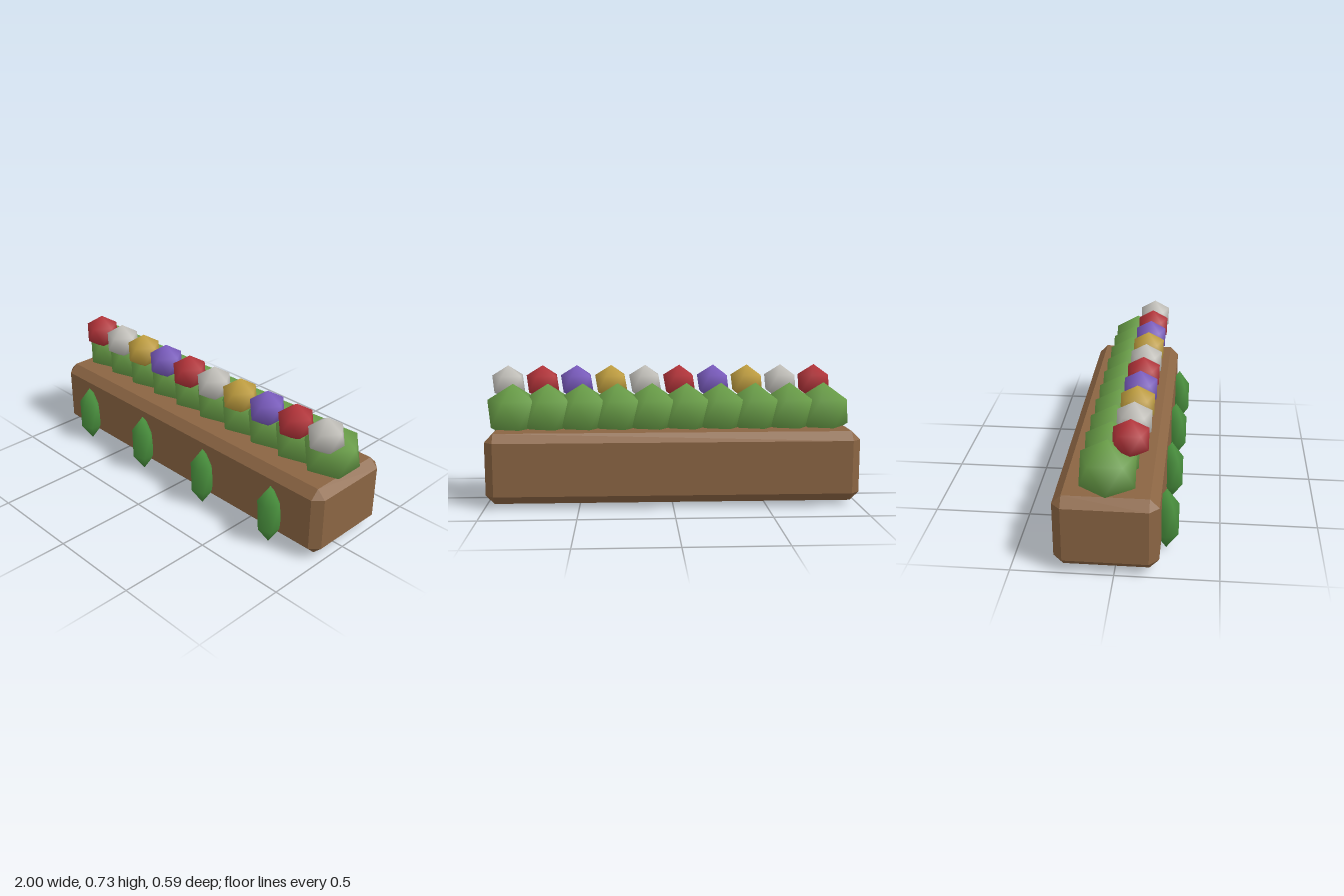
import * as THREE from 'three';
import { ConvexGeometry } from 'three/addons/geometries/ConvexGeometry.js';

const material = (color, flatShading = false) => new THREE.MeshStandardMaterial({ color, flatShading });

// Box with every edge cut at 45 degrees
function chamferedBox(w, h, d, c) {
  const points = [];
  for (const x of [-1, 1]) for (const y of [-1, 1]) for (const z of [-1, 1]) {
    for (let axis = 0; axis < 3; axis++) {
      const inset = [c, c, c];
      inset[axis] = 0;
      points.push(new THREE.Vector3(x * (w / 2 - inset[0]), y * (h / 2 - inset[1]), z * (d / 2 - inset[2])));
    }
  }
  return new ConvexGeometry(points);
}

// Smooth-shaded icosahedron with a vertex at the top and bottom
function icoBall() {
  const y = 1 / Math.sqrt(5), r = 2 * y;
  const positions = [0, 1, 0, 0, -1, 0];
  const index = [];
  for (let i = 0; i < 5; i++) {
    const a = i * Math.PI * 0.4, b = a + Math.PI * 0.2;
    positions.push(r * Math.cos(a), y, r * Math.sin(a));
    positions.push(r * Math.cos(b), -y, r * Math.sin(b));
    const up = 2 + 2 * i, low = up + 1;
    const upNext = 2 + 2 * ((i + 1) % 5), lowNext = upNext + 1;
    index.push(0, upNext, up, up, upNext, low, low, upNext, lowNext, 1, low, lowNext);
  }
  const geometry = new THREE.BufferGeometry();
  geometry.setAttribute('position', new THREE.Float32BufferAttribute(positions, 3));
  geometry.setIndex(index);
  geometry.computeVertexNormals();
  return geometry;
}

export function createModel() {
  const group = new THREE.Group();
  const ball = icoBall();

  const add = (name, geometry, mat, position, scale = [1, 1, 1]) => {
    const mesh = new THREE.Mesh(geometry, mat);
    mesh.name = name;
    mesh.position.set(...position);
    mesh.scale.set(...scale);
    group.add(mesh);
  };

  // Wooden planter
  add('planterBox', chamferedBox(1.993, 0.376, 0.505, 0.046), material(0x8b6543, true), [-0.0035, 0.212, -0.041]);

  // Row of bushes, each with a flower on its front
  const bushMaterial = material(0x6a9f48);
  const flowerMaterials = [0xb5343a, 0xc4c2bc, 0xc2a040, 0x7b5cc0].map((c) => material(c));
  for (let i = 0; i < 10; i++) {
    add('bush', ball, bushMaterial, [-0.84 + i * 0.1889, 0.483, -0.041], [0.157, 0.157, 0.157]);
    add('flower', ball, flowerMaterials[i % 4], [-0.804 + i * 0.1889, 0.631, 0.064], [0.1, 0.1, 0.1]);
  }

  // Leaves hanging over the front
  const leafMaterial = material(0x4a923e);
  for (let i = 0; i < 4; i++) {
    add('hangingLeaf', ball, leafMaterial, [-0.741 + i * 0.483, 0.168, 0.234], [0.071, 0.168, 0.071]);
  }
  return group;
}
